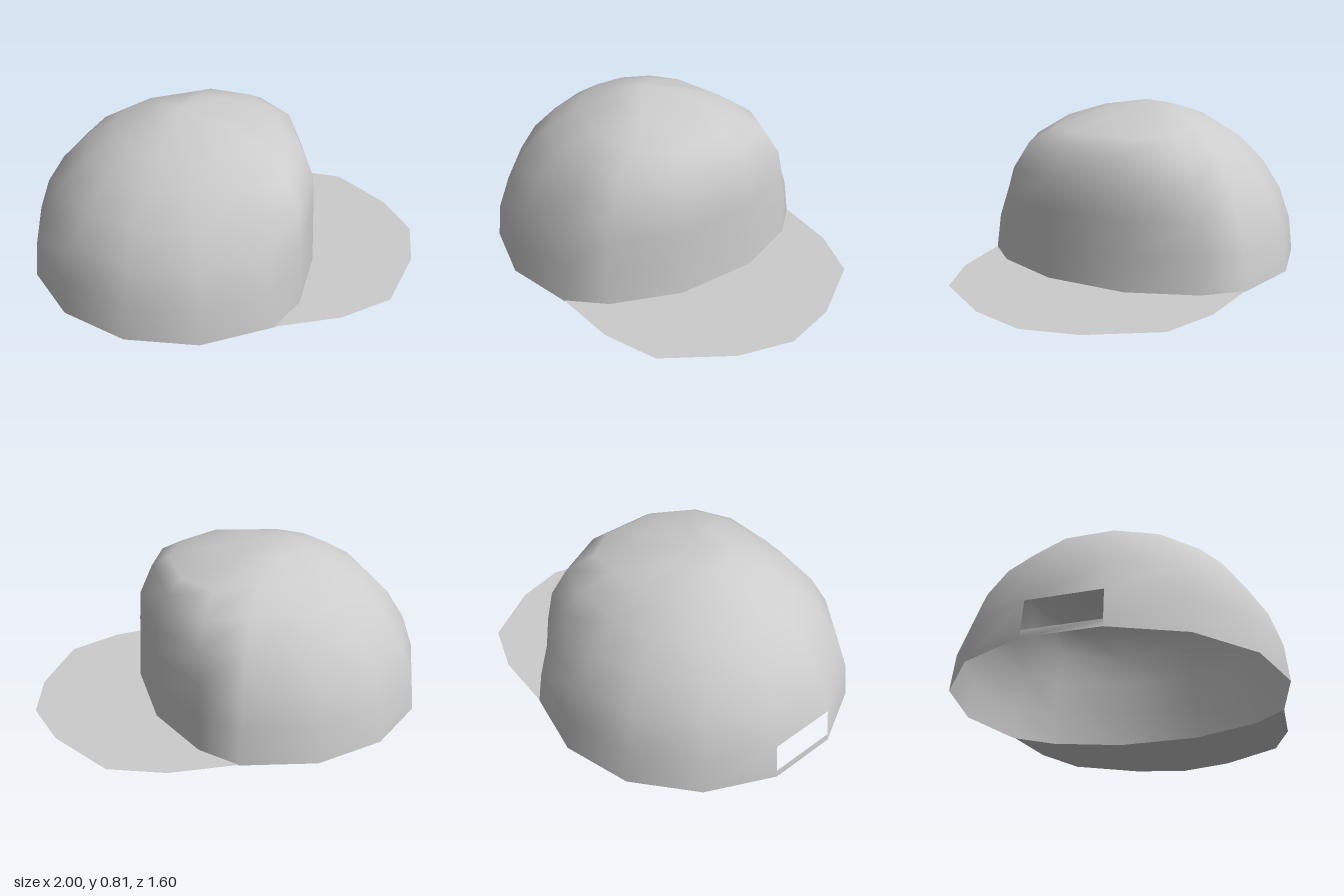
import * as THREE from 'three';

const SIDES = 14, ROWS = 7, R = 0.8, CX = -0.22;

// Reshaped front panel: [x, y, z] from base to top, for the three columns on the +z side
const FRONT = [
  [[0.42, 0, 0.21], [0.413, 0.18, 0.21], [0.407, 0.35, 0.21], [0.4, 0.5, 0.2], [0.34, 0.65, 0.18], [0.26, 0.71, 0.14], [0.09, 0.76, 0.08]],
  [[0.29, 0, 0.55], [0.285, 0.18, 0.55], [0.28, 0.35, 0.53], [0.27, 0.5, 0.5], [0.23, 0.63, 0.43], [0.15, 0.71, 0.32], [0, 0.775, 0.16]],
  [[0.14, 0, 0.715], [0.12, 0.18, 0.7], [0.1, 0.35, 0.65], [0.07, 0.5, 0.58], [0.03, 0.64, 0.5], [-0.05, 0.735, 0.36], [-0.12, 0.795, 0.18]],
];

function crownPoint(row, j) {
  const mirrored = j >= SIDES / 2;
  const col = mirrored ? SIDES - 1 - j : j;
  const s = mirrored ? -1 : 1;
  if (col < FRONT.length) {
    const [x, y, z] = FRONT[col][row];
    return [x, y, z * s];
  }
  const lat = row * Math.PI / SIDES;
  const a = (col + 0.5) * 2 * Math.PI / SIDES;
  const r = R * Math.cos(lat);
  return [CX + r * Math.cos(a), R * Math.sin(lat), s * r * Math.sin(a)];
}

// Open dome with one opening left out at the back of the head (-x)
function crownGeometry() {
  const pos = [], index = [];
  for (let row = 0; row < ROWS; row++)
    for (let j = 0; j < SIDES; j++) pos.push(...crownPoint(row, j));
  const apex = ROWS * SIDES;
  pos.push(-0.24, 0.815, 0);

  const quad = (a, b, c, d) => index.push(a, b, d, b, c, d);
  for (let row = 0; row < ROWS; row++) {
    for (let j = 0; j < SIDES; j++) {
      const k = (j + 1) % SIDES;
      const a = row * SIDES + j, d = row * SIDES + k;
      if (row === ROWS - 1) index.push(a, apex, d);
      else if (row === 0 && j === SIDES / 2 - 1) {
        // narrow strap below the opening
        const t = 0.2, n = pos.length / 3;
        for (const col of [j, k]) {
          const p = crownPoint(0, col), q = crownPoint(1, col);
          pos.push(...p.map((v, i) => v + (q[i] - v) * t));
        }
        quad(a, n, n + 1, d);
      } else quad(a, a + SIDES, d + SIDES, d);
    }
  }
  const g = new THREE.BufferGeometry();
  g.setAttribute('position', new THREE.Float32BufferAttribute(pos, 3));
  g.setIndex(index);
  g.computeVertexNormals();
  return g;
}

// Flat brim between the crown's front edge and the outer outline
function brimGeometry() {
  const outer = [[0.47, 0.685], [0.735, 0.58], [0.93, 0.27]];
  const inner = FRONT.map(c => [c[0][0], c[0][2]]);
  const flip = list => list.map(([x, z]) => [x, -z]);
  const outline = [
    ...inner, ...outer, [1, 0],
    ...flip(outer).reverse(), ...flip(inner).reverse(),
  ];
  const shape = new THREE.Shape(outline.map(([x, z]) => new THREE.Vector2(x, z)));
  const g = new THREE.ShapeGeometry(shape);
  g.rotateX(-Math.PI / 2);
  g.translate(0, 0.004, 0);
  return g;
}

export function createModel() {
  const group = new THREE.Group();
  group.name = 'cap';
  const fabric = new THREE.MeshStandardMaterial({ color: 0xcccccc, side: THREE.DoubleSide });
  fabric.name = 'light grey fabric';

  const crown = new THREE.Mesh(crownGeometry(), fabric);
  crown.name = 'crown';
  const brim = new THREE.Mesh(brimGeometry(), fabric);
  brim.name = 'brim';
  group.add(crown, brim);
  return group;
}
